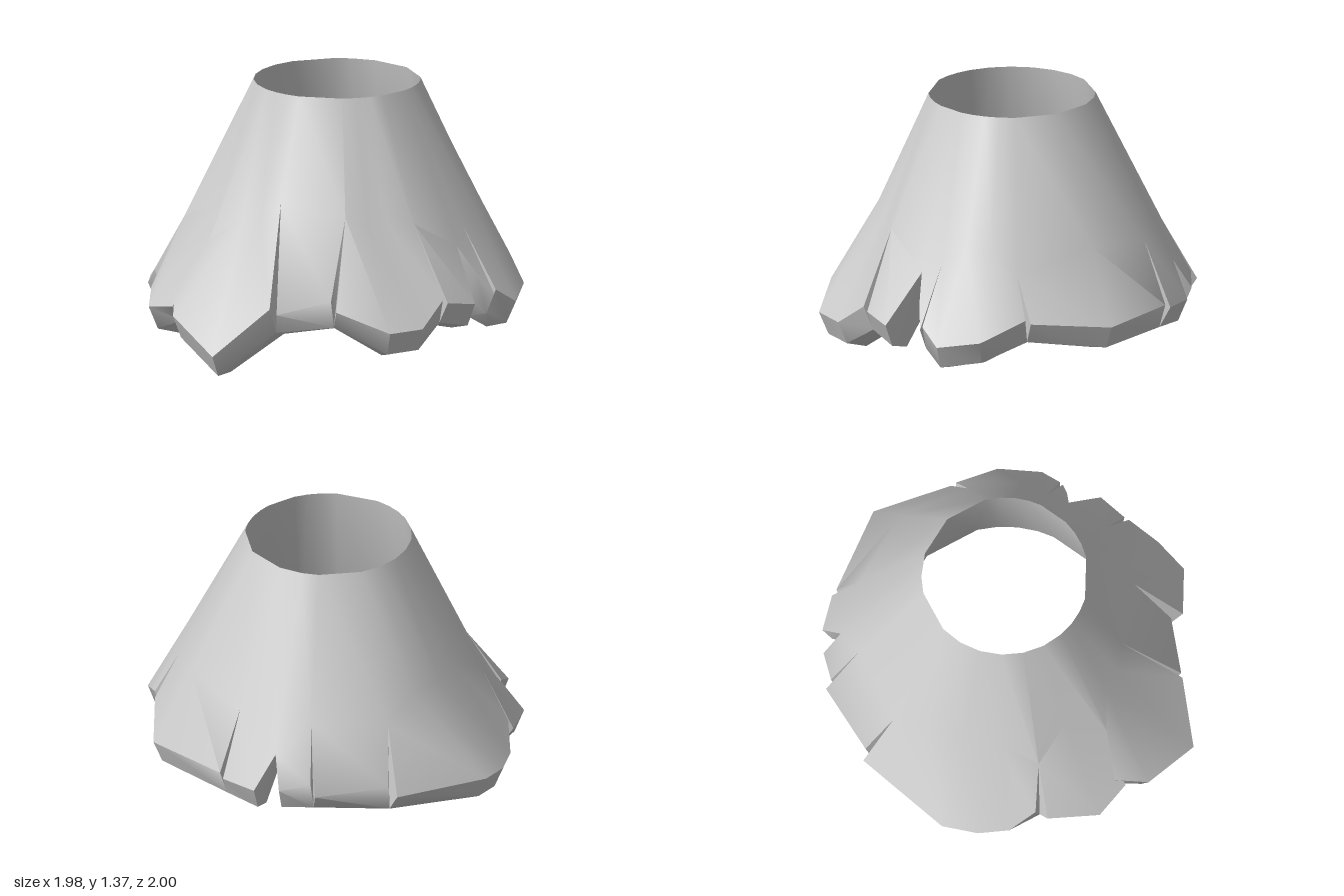
import * as THREE from 'three';
import { toCreasedNormals } from 'three/addons/utils/BufferGeometryUtils.js';

// Centre of the waist opening
const CX = 0.03, CZ = -0.08;

// Upper end of each tear, in order around the skirt
const tears = [
  [-0.28, 0.62, 0.63], [0.11, 0.85, 0.55], [0.45, 0.80, 0.46], [0.70, 0.75, 0.20],
  [0.79, 0.59, -0.06], [0.76, 0.66, -0.17], [0.64, 0.62, -0.56], [-0.07, 0.69, -0.85],
  [-0.32, 0.52, -0.85], [-0.43, 0.68, -0.70], [-0.68, 0.65, -0.39], [-0.60, 0.65, 0.39],
];

// Tears that cut right through; the others are grooves closed at the bottom
const openTears = [4, 8];

// Hem corners of the flap that follows each tear
const hems = [
  [[-0.42, 0.35, 0.74], [-0.33, 0.26, 0.89], [-0.01, 0.11, 1.0], [0.23, 0.36, 0.83]],
  [[0.26, 0.33, 0.81], [0.49, 0.40, 0.65]],
  [[0.55, 0.36, 0.69], [0.81, 0.26, 0.58], [0.89, 0.26, 0.40], [0.90, 0.38, 0.23]],
  [[0.91, 0.36, 0.20], [0.97, 0.33, 0.04]],
  [[0.88, 0.45, -0.11], [0.95, 0.34, -0.165]],
  [[0.95, 0.36, -0.18], [0.99, 0.28, -0.30], [0.90, 0.32, -0.51], [0.71, 0.42, -0.66]],
  [[0.69, 0.40, -0.68], [0.41, 0.37, -0.99], [-0.06, 0.37, -0.99]],
  [[-0.09, 0.35, -1.0], [-0.28, 0.34, -0.97]],
  [[-0.40, 0.36, -0.91], [-0.53, 0.40, -0.81]],
  [[-0.57, 0.35, -0.82], [-0.79, 0.36, -0.50]],
  [[-0.84, 0.32, -0.49], [-0.99, 0.28, 0.02], [-0.94, 0.25, 0.20], [-0.86, 0.25, 0.34], [-0.75, 0.36, 0.44]],
  [[-0.73, 0.28, 0.50], [-0.59, 0.24, 0.73], [-0.40, 0.28, 0.79]],
];

const angleOf = ([x, , z]) => Math.atan2(x - CX, z - CZ);
const polar = (a, r, y) => [CX + r * Math.sin(a), y, CZ + r * Math.cos(a)];

// Point on the middle ring, which is fuller at the back
const middle = (a) => polar(a, 0.715 - 0.065 * Math.cos(a), 0.75);

// Move p towards the axis and down, never below the ground
function inset(p, inward, down) {
  const a = angleOf(p);
  return [p[0] - inward * Math.sin(a), Math.max(0, p[1] - down), p[2] - inward * Math.cos(a)];
}

// Hem point midway between the two flaps that meet at a tear
function seam(t) {
  const before = hems[(t + hems.length - 1) % hems.length].at(-1);
  return before.map((v, k) => (v + hems[t][0][k]) / 2);
}

function createModel() {
  const pos = [];
  const tri = (...pts) => pts.forEach((p) => pos.push(...p));

  hems.forEach((hem, f) => {
    const last = hem.length - 1;
    const next = (f + 1) % tears.length;
    const start = angleOf(tears[f]);
    const sweep = (angleOf(tears[next]) - start + 2 * Math.PI) % (2 * Math.PI);

    // Section down the outside, round the thick hem and up the inside
    const columns = hem.map((p, i) => {
      const a = start + (sweep * i) / last;
      const tear = i === 0 ? f : i === last ? next : -1;
      const mid = tear < 0 ? middle(a) : tears[tear];
      const top = polar(a, 0.43, 1.37);
      const base = tear < 0 || openTears.includes(tear) ? p : seam(tear);
      return [top, mid, p, inset(base, 0.05, 0.12), inset(base, 0.16, 0.15), polar(a, 0.58, 0.52), top];
    });

    for (let i = 0; i < last; i++) {
      const a = columns[i], b = columns[i + 1];
      for (let j = 0; j < a.length - 1; j++) {
        tri(a[j], a[j + 1], b[j + 1]);
        tri(a[j], b[j + 1], b[j]);
      }
    }

    // Cut faces along the tears at both ends of the flap
    const s = columns[0], e = columns[last];
    const startDepth = openTears.includes(f) ? 5 : 3;
    const endDepth = openTears.includes(next) ? 5 : 3;
    for (let j = 2; j < startDepth; j++) tri(s[1], s[j + 1], s[j]);
    for (let j = 2; j < endDepth; j++) tri(e[1], e[j], e[j + 1]);
  });

  const geometry = new THREE.BufferGeometry();
  geometry.setAttribute('position', new THREE.Float32BufferAttribute(pos, 3));

  const skirt = new THREE.Mesh(
    toCreasedNormals(geometry, 0.78),
    new THREE.MeshStandardMaterial({ color: 0xcccccc })
  );
  skirt.name = 'tatteredSkirt';

  const group = new THREE.Group();
  group.name = 'tornSkirt';
  group.add(skirt);
  return group;
}

export { createModel };
